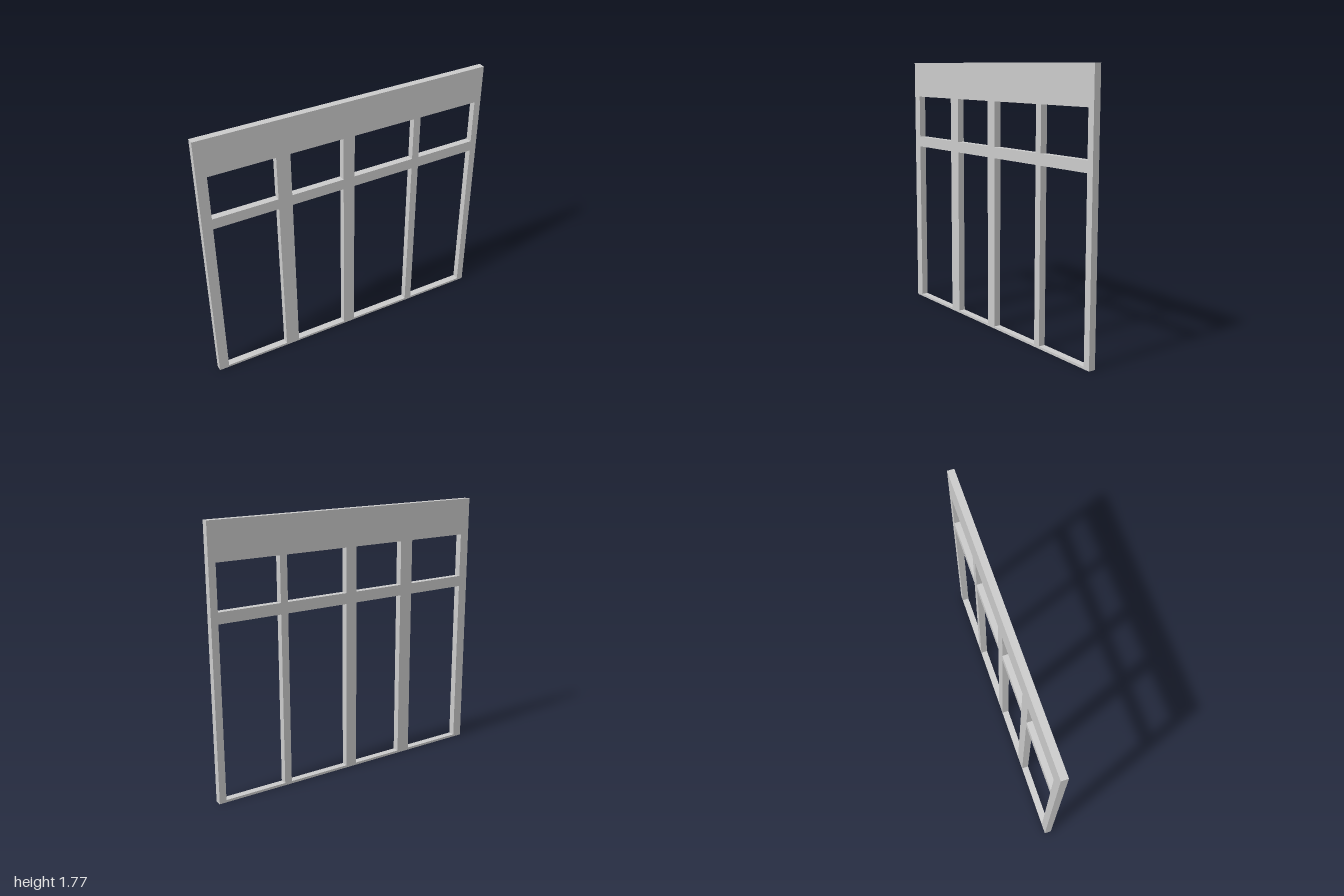
import * as THREE from 'three';

const HEIGHT = 1.775;
const DEPTH = 0.046;

// Opening extents: columns from right to left of the model, rows from bottom to top
const COLUMNS = [[-0.933, -0.497], [-0.403, -0.04], [0.04, 0.477], [0.527, 0.953]];
const ROWS = [[0.016, 1.158], [1.231, 1.528]];

function rectangle(PathType, x0, x1, y0, y1) {
  const path = new PathType();
  path.moveTo(x0, y0);
  path.lineTo(x1, y0);
  path.lineTo(x1, y1);
  path.lineTo(x0, y1);
  path.closePath();
  return path;
}

export function createModel() {
  const group = new THREE.Group();
  group.name = 'windowWall';

  // One flat panel: header, posts, transom bar and sill around the openings
  const panel = rectangle(THREE.Shape, -1, 1, 0, HEIGHT);
  for (const [x0, x1] of COLUMNS) {
    for (const [y0, y1] of ROWS) {
      panel.holes.push(rectangle(THREE.Path, x0, x1, y0, y1));
    }
  }
  const geometry = new THREE.ExtrudeGeometry(panel, { depth: DEPTH, bevelEnabled: false });
  geometry.translate(0, 0, -DEPTH / 2);

  const frame = new THREE.Mesh(geometry, new THREE.MeshStandardMaterial({ color: 0xcccccc }));
  frame.name = 'windowFrame';
  group.add(frame);
  return group;
}
